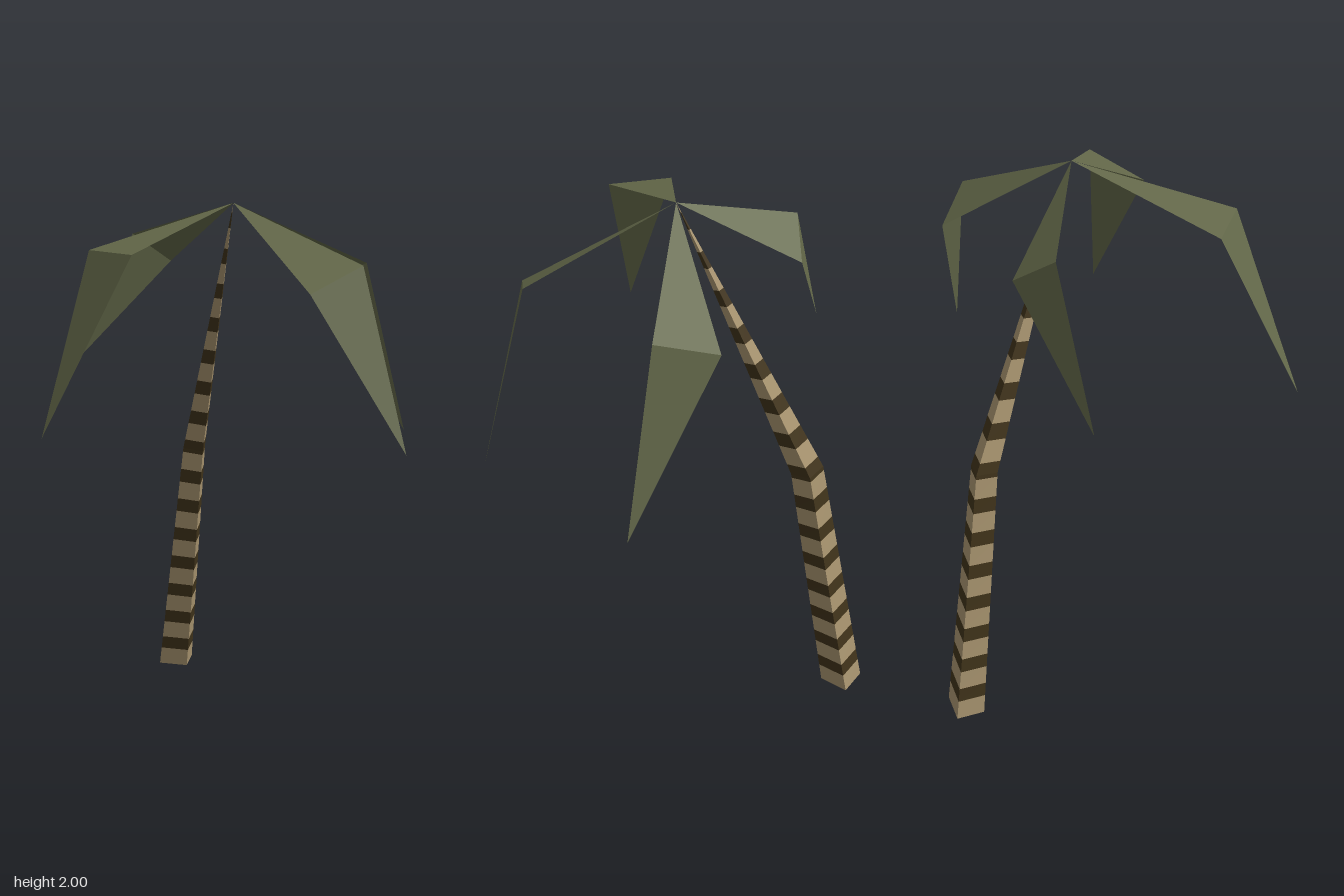
import * as THREE from 'three';

const bark = new THREE.MeshStandardMaterial({ name: 'tan bark', color: 0xa8946f });
const ring = new THREE.MeshStandardMaterial({ name: 'dark bark ring', color: 0x40331a });
const green = new THREE.MeshStandardMaterial({ name: 'olive leaf', color: 0x636849, side: THREE.DoubleSide });

const V = (x, y, z) => new THREE.Vector3(x, y, z);
const CROWN = V(0.015, 2, -0.1);

// Separate triangles with flat normals
function facets(name, points, material) {
  const geometry = new THREE.BufferGeometry().setFromPoints(points);
  geometry.computeVertexNormals();
  const mesh = new THREE.Mesh(geometry, material);
  mesh.name = name;
  return mesh;
}

// Trunk corners (front, left, back, right) at the base, the bend and the crown
const BEND = 1.01;
const sections = [
  [V(-0.635, 0, -0.207), V(-0.543, 0, -0.285), V(-0.62, 0, -0.367), V(-0.705, 0, -0.285)],
  [V(-0.435, 1.01, -0.197), V(-0.375, 1, -0.25), V(-0.43, 1.01, -0.302), V(-0.492, 1.02, -0.25)],
  [CROWN, CROWN, CROWN, CROWN],
];

function sectionAt(h) {
  const lower = h <= BEND;
  const t = lower ? h / BEND : (h - BEND) / (2 - BEND);
  const [a, b] = lower ? [sections[0], sections[1]] : [sections[1], sections[2]];
  return a.map((p, i) => p.clone().lerp(b[i], t));
}

function trunk() {
  // Band limits: tan from each step, dark near its end
  const stops = [{ h: 0, dark: false }];
  for (let k = 0; k < 15; k++) {
    stops.push({ h: 0.077 + k * 0.131, dark: true });
    stops.push({ h: 0.133 + k * 0.131, dark: false });
  }
  const points = { true: [], false: [] };
  stops.forEach((stop, i) => {
    const end = i + 1 < stops.length ? stops[i + 1].h : 2;
    const cuts = stop.h < BEND && end > BEND ? [stop.h, BEND, end] : [stop.h, end];
    for (let c = 0; c + 1 < cuts.length; c++) {
      const a = sectionAt(cuts[c]);
      const b = sectionAt(cuts[c + 1]);
      for (let s = 0; s < 4; s++) {
        const n = (s + 1) % 4;
        points[stop.dark].push(a[s], a[n], b[n]);
        if (cuts[c + 1] < 2) points[stop.dark].push(a[s], b[n], b[s]);
      }
    }
  });
  // Underside
  const f = sections[0];
  points.false.push(f[0], f[2], f[1], f[0], f[3], f[2]);

  const group = new THREE.Group();
  group.name = 'trunk';
  group.add(facets('trunkBark', points.false, bark), facets('trunkRings', points.true, ring));
  return group;
}

// Each frond: two shoulder corners and a drooping tip
const fronds = {
  frontFrond: [V(-0.065, 1.86, 0.445), V(0.165, 1.86, 0.425), V(0.055, 1.275, 0.715)],
  leftFrond: [V(0.515, 1.735, -0.03), V(0.525, 1.815, -0.25), V(0.7, 1.195, -0.31)],
  backFrond: [V(0.175, 1.775, -0.597), V(-0.04, 1.703, -0.57), V(0.28, 1.145, -0.72)],
  rightFrond: [V(-0.405, 1.765, -0.122), V(-0.425, 1.873, 0.037), V(-0.575, 1.375, 0.225)],
};

export function createModel() {
  const model = new THREE.Group();
  model.name = 'palmTree';
  model.add(trunk());
  for (const [name, [a, b, tip]] of Object.entries(fronds)) {
    model.add(facets(name, [CROWN, a, b, a, tip, b], green));
  }
  return model;
}
